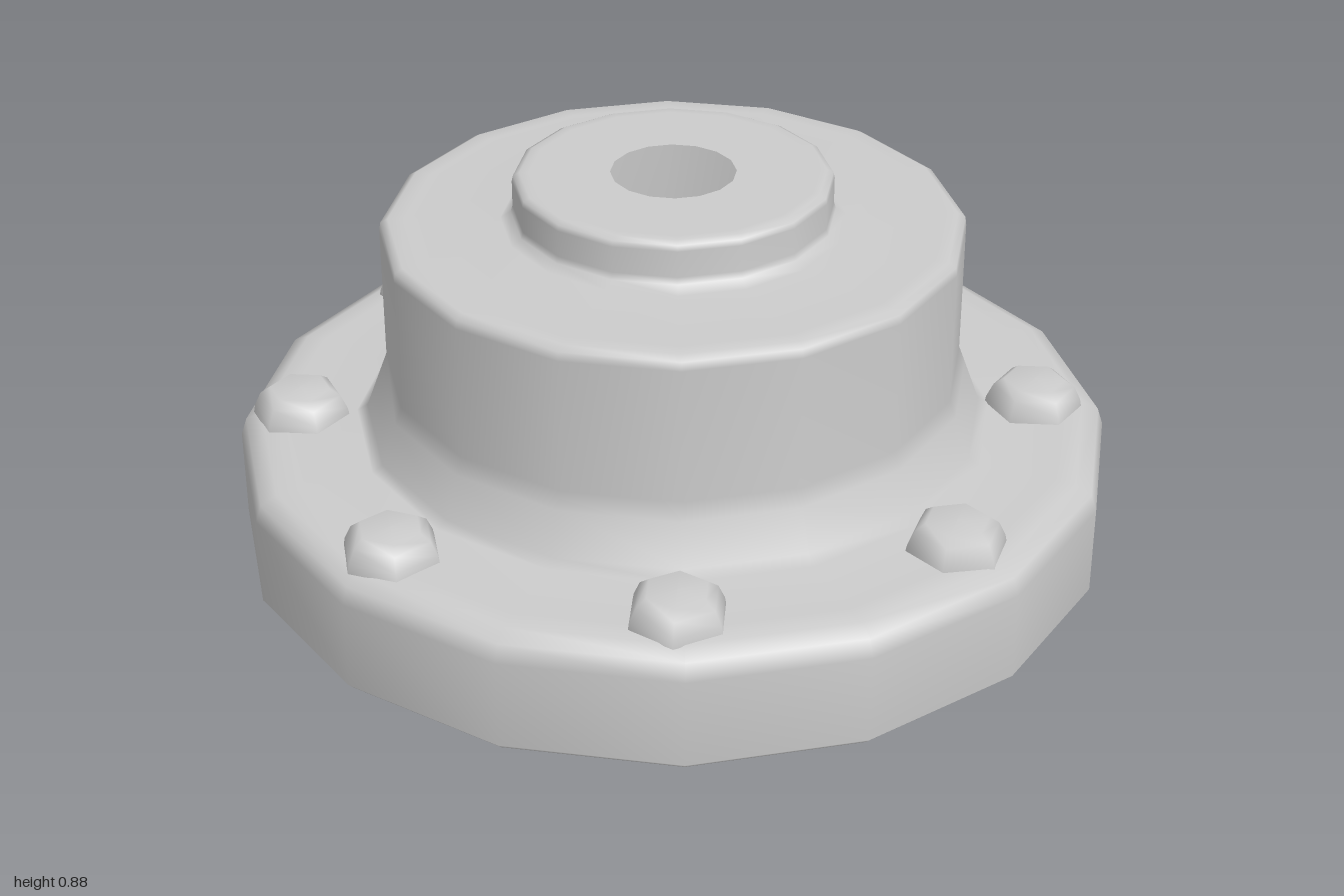
import * as THREE from 'three';

const profile = (pts) => pts.map(([r, y]) => new THREE.Vector2(r, y));

export function createModel() {
  const group = new THREE.Group();
  const material = new THREE.MeshStandardMaterial({ color: 0xcccccc, side: THREE.DoubleSide });

  function lathe(name, pts, sides, parent = group) {
    const mesh = new THREE.Mesh(new THREE.LatheGeometry(profile(pts), sides), material);
    mesh.name = name;
    parent.add(mesh);
    return mesh;
  }

  // Flat ring under the flange, open in the middle
  lathe('bottomRing', [[0.71, 0], [0.985, 0]], 16);

  // Hollow shell: flange, flared neck, hub and raised boss with a centre hole
  lathe('flangedHub', [
    [0.985, 0], [1, 0.015], [1, 0.22], [0.987, 0.26], [0.95, 0.278],
    [0.9, 0.28], [0.73, 0.28], [0.705, 0.295], [0.67, 0.39], [0.655, 0.43],
    [0.655, 0.74], [0.652, 0.76], [0.635, 0.77],
    [0.6, 0.77], [0.385, 0.77], [0.362, 0.785], [0.357, 0.8],
    [0.357, 0.86], [0.354, 0.873], [0.34, 0.88], [0.32, 0.88], [0.14, 0.88],
  ], 16);

  // Ring of eight hexagonal bolt heads
  const bolts = new THREE.Group();
  bolts.name = 'bolts';
  bolts.position.set(-0.012, 0, -0.005);
  group.add(bolts);
  for (let i = 0; i < 8; i++) {
    const a = (i * Math.PI) / 4;
    const bolt = new THREE.Group();
    bolt.name = 'bolt' + (i + 1);
    bolt.position.set(0.845 * Math.cos(a), 0.275, -0.845 * Math.sin(a));
    bolt.rotation.y = a + Math.PI / 6 - 0.1;
    lathe('boltHead', [[0.112, 0], [0.108, 0.02], [0.093, 0.052], [0.07, 0.069], [0, 0.071]], 6, bolt);
    lathe('boltBase', [[0, 0], [0.112, 0]], 6, bolt);
    bolts.add(bolt);
  }
  return group;
}
